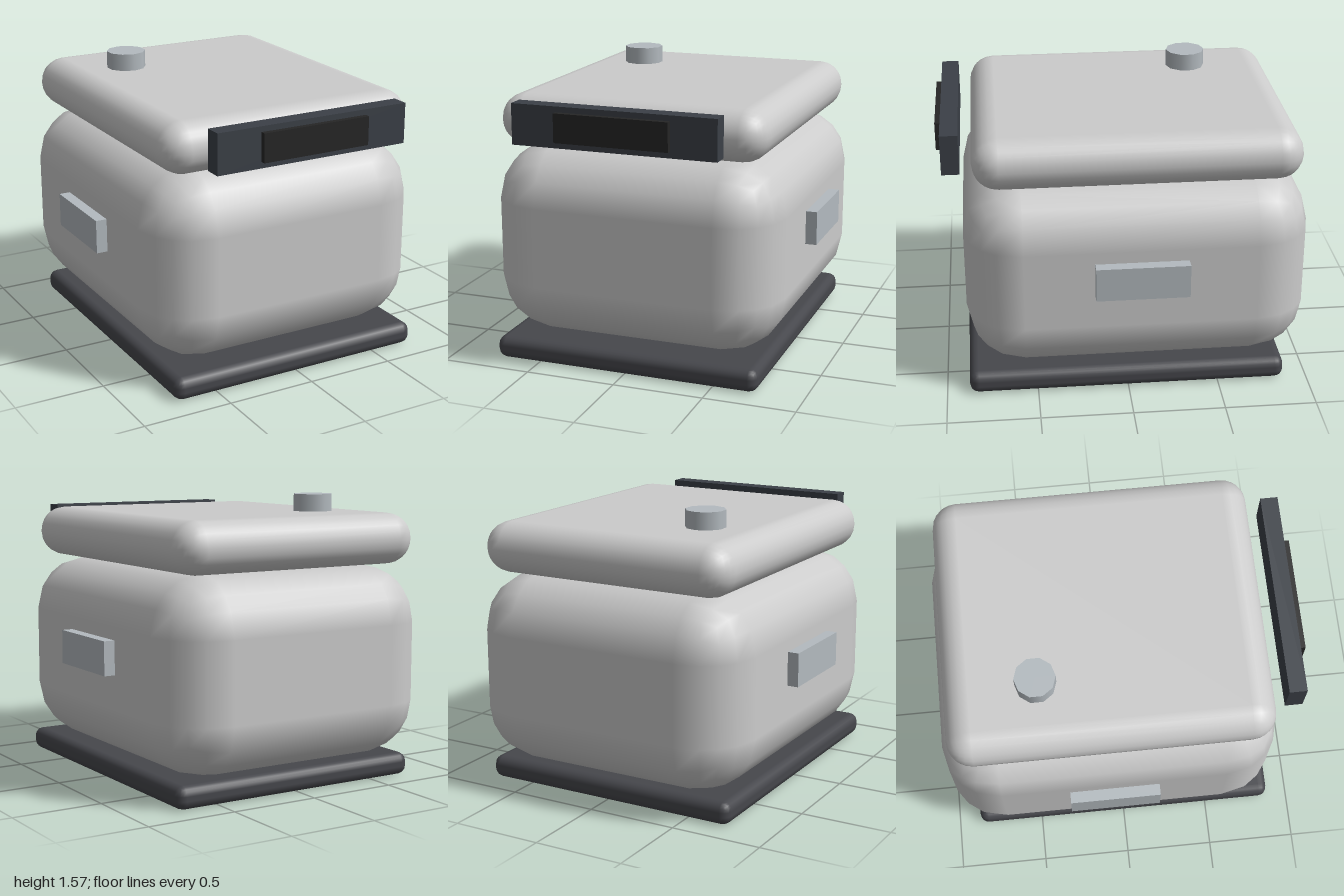
import * as THREE from 'three';
import { RoundedBoxGeometry } from 'three/addons/geometries/RoundedBoxGeometry.js';

const material = (color) => new THREE.MeshStandardMaterial({ color });

export function createModel() {
  const group = new THREE.Group();
  const shell = material(0xcccccc);
  const metal = material(0xb3babf);
  const rubber = material(0x46474c);
  const visorDark = material(0x3b4047);
  const glass = material(0x262626);

  function add(name, geometry, mat, x, y, z) {
    const mesh = new THREE.Mesh(geometry, mat);
    mesh.name = name;
    mesh.position.set(x, y, z);
    group.add(mesh);
  }

  // Box given by half width and its y and z extents; rounded when a radius is given
  function block(name, mat, halfWidth, [y0, y1], [z0, z1], radius = 0, segments = 2, x = 0) {
    const size = [halfWidth * 2, y1 - y0, z1 - z0];
    const geometry = radius
      ? new RoundedBoxGeometry(...size, segments, radius)
      : new THREE.BoxGeometry(...size);
    add(name, geometry, mat, x, (y0 + y1) / 2, (z0 + z1) / 2);
  }

  // Base slab, main body and overhanging lid
  block('base', rubber, 0.75, [0, 0.125], [-0.87, 0.875], 0.05, 2);
  block('body', shell, 0.8125, [0.125, 1.19], [-1, 0.875], 0.3125, 2);
  block('lid', shell, 0.75, [1.19, 1.47], [-0.935, 0.8125], 0.139, 3);

  // Front visor bar with its dark window
  block('visor', visorDark, 0.5625, [1.25, 1.47], [0.875, 0.97]);
  block('visorWindow', glass, 0.3125, [1.285, 1.44], [0.94, 1]);

  // Side plates
  for (const [name, side] of [['leftPlate', 1], ['rightPlate', -1]]) {
    block(name, metal, 0.0625, [0.628, 0.815], [-0.3125, 0.1875], 0, 0, side * 0.8125);
  }

  // Knob on the lid
  add('knob', new THREE.CylinderGeometry(0.11, 0.11, 0.125, 10), metal, -0.38, 1.5025, -0.4375);

  return group;
}
